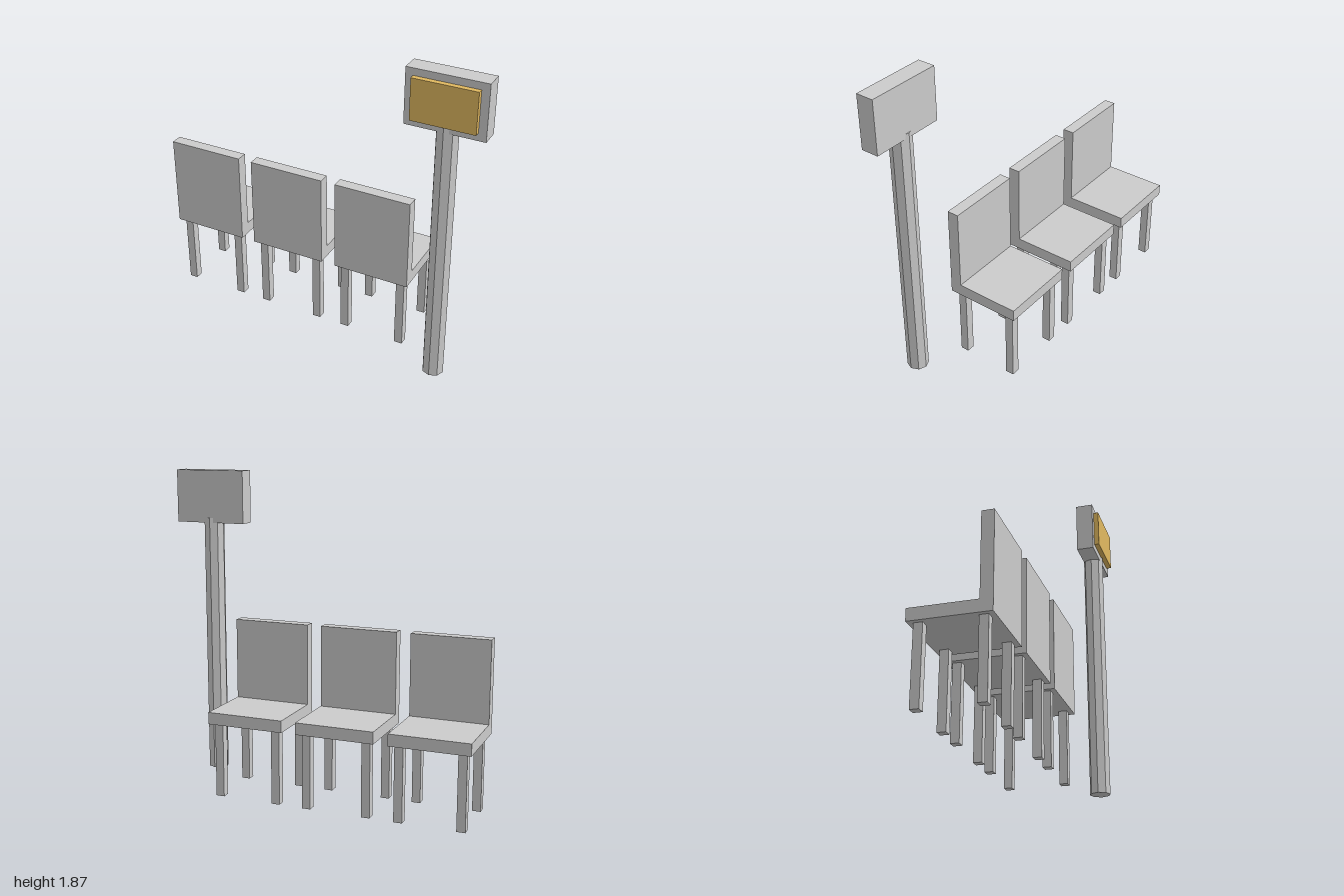
import * as THREE from 'three';

const grey = new THREE.MeshStandardMaterial({ color: 0xcccccc, flatShading: true });
const gold = new THREE.MeshStandardMaterial({ color: 0xe0b860, flatShading: true });

// Box given by its extents along each axis
function box(name, [x0, x1], [y0, y1], [z0, z1], material = grey) {
  const mesh = new THREE.Mesh(new THREE.BoxGeometry(x1 - x0, y1 - y0, z1 - z0), material);
  mesh.position.set((x0 + x1) / 2, (y0 + y1) / 2, (z0 + z1) / 2);
  mesh.name = name;
  return mesh;
}

// Chair facing -z, centred on its own x = 0
function createChair() {
  const chair = new THREE.Group();
  chair.name = 'chair';
  const w = 0.231;
  chair.add(box('seat', [-w, w], [0.44, 0.51], [-0.31, 0.133]));
  chair.add(box('backrest', [-w, w], [0.44, 0.99], [0.066, 0.135]));
  for (const x of [-0.178, 0.178]) {
    for (const z of [-0.255, 0.08]) {
      chair.add(box('leg', [x - 0.025, x + 0.025], [0, 0.44], [z - 0.025, z + 0.025]));
    }
  }
  return chair;
}

export function createModel() {
  const model = new THREE.Group();
  model.name = 'waitingArea';

  // Row of three chairs
  for (const x of [-0.769, -0.224, 0.323]) {
    const chair = createChair();
    chair.position.x = x;
    model.add(chair);
  }

  // Sign on an eight-sided pole
  const sign = new THREE.Group();
  sign.name = 'sign';
  const pole = new THREE.Mesh(new THREE.CylinderGeometry(0.062, 0.062, 1.58, 8), grey);
  pole.name = 'pole';
  pole.position.set(0.777, 0.79, 0.227);
  sign.add(pole);
  sign.add(box('signBox', [0.556, 0.998], [1.55, 1.865], [0.173, 0.278]));
  sign.add(box('signPanel', [0.598, 0.954], [1.592, 1.825], [0.26, 0.308], gold));
  model.add(sign);

  return model;
}
